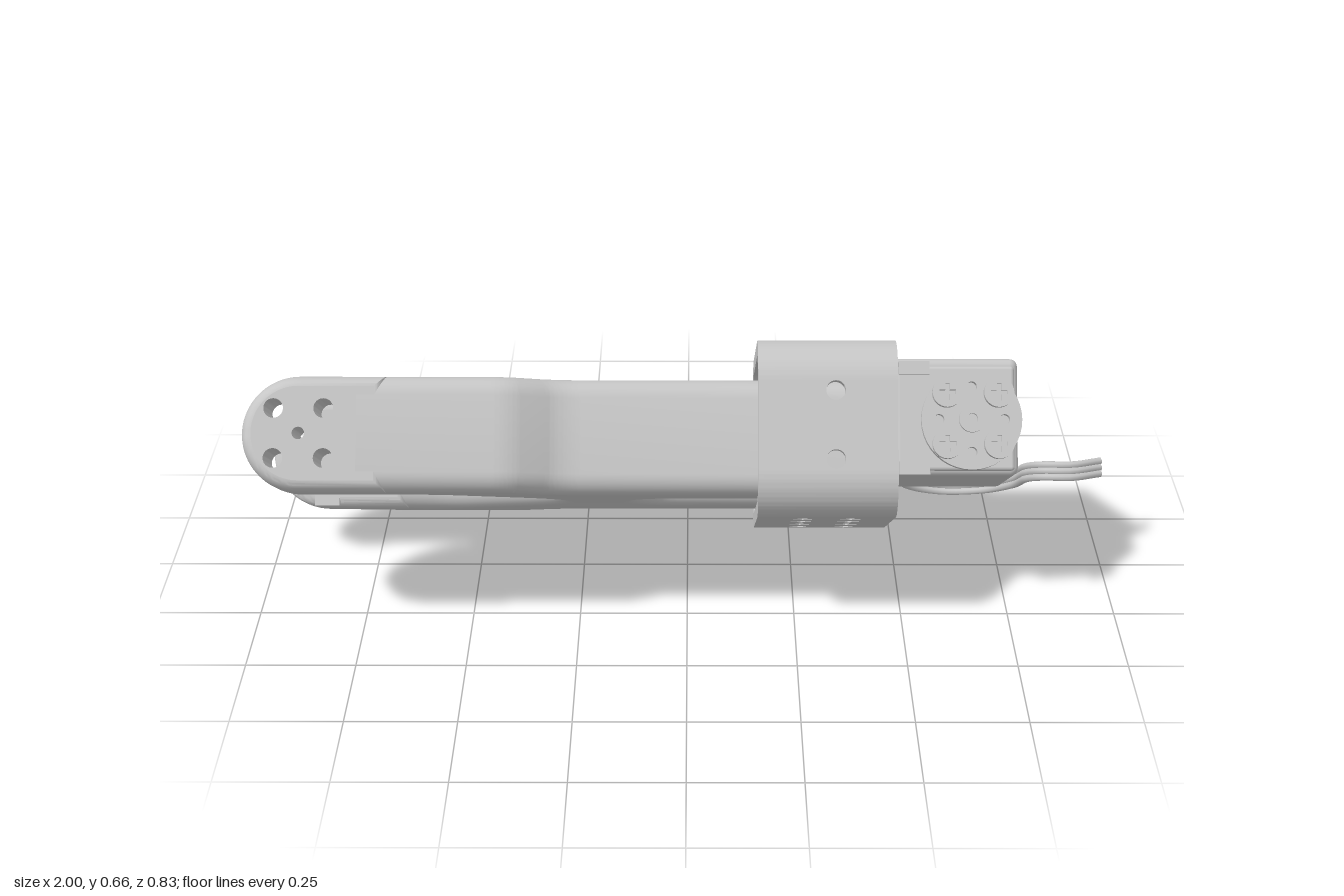
import * as THREE from 'three';
import { toCreasedNormals } from 'three/addons/utils/BufferGeometryUtils.js';
import { RoundedBoxGeometry } from 'three/addons/geometries/RoundedBoxGeometry.js';

export function createModel() {
  const model = new THREE.Group();
  model.name = 'forkedLimb';
  const grey = new THREE.MeshStandardMaterial({ color: 0xc6c6c6 });
  grey.name = 'light grey';

  // Limb frame: X along the limb, Y through its thickness, Z across its width
  const limb = new THREE.Group();
  limb.name = 'limb';
  limb.rotation.x = -Math.PI / 6;
  model.add(limb);

  const add = (name, geo, x, y, z, parent = limb) => {
    const m = new THREE.Mesh(geo, grey);
    m.name = name;
    m.position.set(x, y, z);
    parent.add(m);
    return m;
  };
  // Extrusion centred in depth; the edge is rounded t deep and s inwards
  const extrude = (shape, depth, t = 0, s = t) => new THREE.ExtrudeGeometry(shape, {
    depth: depth - 2 * t, bevelEnabled: t > 0, bevelSize: s, bevelThickness: t,
    bevelOffset: -s, bevelSegments: 6, curveSegments: 20
  }).translate(0, 0, t - depth / 2);
  const smooth = (g) => toCreasedNormals(g, 0.5);
  const circle = (x, y, r, P = THREE.Path) => new P().absarc(x, y, r, 0, Math.PI * 2);
  const rect = (w, h) => new THREE.Shape([[-1, -1], [1, -1], [1, 1], [-1, 1]]
    .map(([a, b]) => new THREE.Vector2(a * w / 2, b * h / 2)));
  const discZ = (r, h, n = 24) => new THREE.CylinderGeometry(r, r, h, n).rotateX(Math.PI / 2);

  const R = 0.045, THICK = 0.262, MID = 0.264, CENTRE = 0.24;
  const ARM = 0.14, ARMZ = 0.263;

  // Fork body: Y-shaped plan with rounded edges and a slot
  const plan = new THREE.Shape();
  plan.moveTo(0.44, 0.27);
  plan.lineTo(-0.24, 0.27);
  plan.quadraticCurveTo(-0.29, 0.272, -0.32, 0.29);
  plan.lineTo(-0.37, 0.318);
  plan.quadraticCurveTo(-0.4, 0.333, -0.44, 0.333);
  plan.lineTo(-0.74, 0.333);
  plan.lineTo(-0.74, 0.193);
  plan.lineTo(-0.62, 0.193);
  plan.quadraticCurveTo(-0.57, 0.193, -0.53, 0.17);
  plan.lineTo(-0.4, 0.105);
  plan.bezierCurveTo(-0.34, 0.075, -0.31, 0.04, -0.31, 0);
  plan.bezierCurveTo(-0.31, -0.04, -0.34, -0.075, -0.4, -0.105);
  plan.lineTo(-0.53, -0.17);
  plan.quadraticCurveTo(-0.57, -0.193, -0.62, -0.193);
  plan.lineTo(-0.74, -0.193);
  plan.lineTo(-0.74, -0.333);
  plan.lineTo(-0.44, -0.333);
  plan.quadraticCurveTo(-0.4, -0.333, -0.37, -0.318);
  plan.lineTo(-0.32, -0.29);
  plan.quadraticCurveTo(-0.29, -0.272, -0.24, -0.27);
  plan.lineTo(0.44, -0.27);
  plan.closePath();
  const slot = new THREE.Path();
  slot.absarc(-0.025, 0, 0.08, Math.PI / 2, Math.PI * 1.5);
  slot.lineTo(0.26, -0.08);
  slot.lineTo(0.26, 0.08);
  slot.closePath();
  plan.holes.push(slot);
  add('forkBody', smooth(extrude(plan, THICK, R).rotateX(Math.PI / 2)), 0, MID, CENTRE);

  // Arm tip: a rounded rim without its lids, and a drilled core that closes it
  const TIPX = -0.869, TIPR = THICK / 2, RIM = 0.025;
  const tipShape = (r, end) => {
    const s = new THREE.Shape();
    s.moveTo(end, -r);
    s.lineTo(end, r);
    s.lineTo(TIPX, r);
    s.absarc(TIPX, 0, r, Math.PI / 2, Math.PI * 1.5);
    s.closePath();
    return s;
  };
  const makeTip = () => {
    const full = extrude(tipShape(TIPR, -0.675), ARM, R, RIM);
    const side = full.groups[1];
    const rim = new THREE.BufferGeometry();
    rim.setAttribute('position', new THREE.BufferAttribute(
      full.attributes.position.array.slice(side.start * 3, (side.start + side.count) * 3), 3));
    const drilled = tipShape(TIPR - RIM, -0.675 - RIM);
    drilled.holes.push(circle(TIPX, 0, 0.014));
    for (const a of [-1, 1]) for (const b of [-1, 1])
      drilled.holes.push(circle(TIPX + a * 0.056, b * 0.056, 0.022));
    return { rim, core: extrude(drilled, ARM) };
  };
  for (const [name, geo] of Object.entries(makeTip()))
    add(name === 'rim' ? 'frontTipRim' : 'frontTipCore', smooth(geo), 0, MID, CENTRE + ARMZ);
  // The rear tip thins towards its end on the outside
  for (const [name, geo] of Object.entries(makeTip())) {
    const p = geo.attributes.position;
    for (let i = 0; i < p.count; i++) {
      const thin = 1 - 0.75 * Math.max(0, (-0.7 - p.getX(i)) / 0.3);
      p.setZ(i, ARM / 2 - (ARM / 2 - p.getZ(i)) * thin);
    }
    add(name === 'rim' ? 'rearTipRim' : 'rearTipCore', smooth(geo), 0, MID, CENTRE - ARMZ);
  }
  add('padTongue', new THREE.BoxGeometry(0.06, 0.11, 0.016), TIPX, MID - 0.072, 0.047);
  add('padTongueEnd', discZ(0.03, 0.016), TIPX, MID - 0.017, 0.047);

  // Clip blocks on the outside of the rear arm
  for (const y of [0.235, 0.335]) add('armClip', new THREE.BoxGeometry(0.11, 0.045, 0.045), -0.685, y, -0.11);

  // Sleeve: four rounded corners joined by four pierced panels
  const SX = 0.3175, SY = 0.288, SZ = 0.2375, LEN = 0.315;
  const HY = 0.102, HZ = 0.1975, OUT = 0.1, WALL = 0.035;
  const quarter = new THREE.Shape();
  quarter.absarc(0, 0, OUT, 0, Math.PI / 2);
  quarter.absarc(0, 0, OUT - WALL, Math.PI / 2, 0, true);
  quarter.closePath();
  [[1, -1], [1, 1], [-1, 1], [-1, -1]].forEach(([a, b], i) => {
    const c = add('sleeveCorner', smooth(extrude(quarter, LEN).rotateY(Math.PI / 2)), SX, SY + a * HY, SZ + b * HZ);
    c.rotation.x = i * Math.PI / 2;
  });
  const broad = rect(LEN, HZ * 2);
  for (const x of [-0.0525, 0.0575])
    for (const z of [-0.1625, -0.0675, 0.0275, 0.1225])
      broad.holes.push(new THREE.Path([[1, 0], [0, 1], [-1, 0], [0, -1]]
        .map(([a, b]) => new THREE.Vector2(x + a * 0.026, z + b * 0.026))));
  const narrow = rect(LEN, HY * 2);
  for (const y of [-0.078, 0.078]) narrow.holes.push(circle(0.0175, y, 0.022));
  for (const s of [-1, 1]) {
    add('broadPanel', extrude(broad, WALL).rotateX(Math.PI / 2), SX, SY + s * (HY + OUT - WALL / 2), SZ);
    add('narrowPanel', smooth(extrude(narrow, WALL)), SX, SY, SZ + s * (HZ + OUT - WALL / 2));
  }
  for (const z of [-0.005, 0.022]) add('sleeveRidge', new THREE.BoxGeometry(0.31, 0.016, 0.014), SX, 0.49, z);
  for (const y of [0.21, 0.3]) add('sleeveClip', new THREE.BoxGeometry(0.06, 0.045, 0.04), 0.39, y, -0.065);

  // Motor block with side plates
  add('motor', new RoundedBoxGeometry(0.56, 0.27, 0.36, 3, 0.018), 0.48, 0.32, 0.215);
  add('motorPlate', new RoundedBoxGeometry(0.27, 0.24, 0.02, 2, 0.008), 0.615, 0.315, 0.4);
  add('motorPlate', new RoundedBoxGeometry(0.24, 0.22, 0.02, 2, 0.008), 0.63, 0.315, 0.03);
  for (const y of [0.2, 0.43]) add('mountTab', new THREE.BoxGeometry(0.07, 0.03, 0.03), 0.52, y, 0.405);

  // Output discs with four cross-head screws, one on each side
  const disc = circle(0, 0, 0.115, THREE.Shape);
  for (let i = 0; i < 4; i++)
    disc.holes.push(circle(Math.cos(i * Math.PI / 2) * 0.075, Math.sin(i * Math.PI / 2) * 0.075, 0.012));
  const boss = circle(0, 0, 0.03, THREE.Shape);
  boss.holes.push(circle(0, 0, 0.013));
  const head = circle(0, 0, 0.034, THREE.Shape);
  const W = 0.005, L = 0.019;
  head.holes.push(new THREE.Path([
    [L, -W], [L, W], [W, W], [W, L], [-W, L], [-W, W], [-L, W], [-L, -W], [-W, -W], [-W, -L], [W, -L], [W, -W]
  ].map(([a, b]) => new THREE.Vector2(a, b))));
  for (const [z, dir] of [[0.41, 1], [0.02, -1]]) {
    const hub = new THREE.Group();
    hub.name = dir > 0 ? 'frontHub' : 'rearHub';
    hub.position.set(0.65, 0.31, z);
    if (dir < 0) hub.rotation.y = Math.PI;
    limb.add(hub);
    add('hubDisc', smooth(extrude(disc, 0.022)), 0, 0, 0.011, hub);
    add('hubBoss', smooth(extrude(boss, 0.012)), 0, 0, 0.027, hub);
    for (let i = 0; i < 4; i++) {
      const a = (i + 0.5) * Math.PI / 2, x = Math.cos(a) * 0.083, y = Math.sin(a) * 0.083;
      add('screwShaft', discZ(0.022, 0.03, 16), x, y, 0.035, hub);
      add('screwHead', smooth(extrude(head, 0.02)), x, y, 0.052, hub);
    }
  }

  // Three-wire cable looping out from the plug behind the motor
  add('cablePlug', new THREE.BoxGeometry(0.06, 0.09, 0.06), 0.5, 0.31, 0.0);
  const path = [
    [0.50, 0.27, -0.15], [0.505, 0.15, -0.28], [0.55, 0.055, -0.365], [0.64, 0.021, -0.397],
    [0.74, 0.036, -0.37], [0.81, 0.1, -0.27], [0.83, 0.185, -0.13], [0.865, 0.222, -0.06],
    [0.925, 0.226, -0.05], [0.998, 0.22, -0.085]
  ];
  for (const k of [-1, 0, 1]) {
    const pts = path.map(([x, y, z]) => new THREE.Vector3(x, y + k * 0.013, z - k * 0.0075));
    const curve = new THREE.CatmullRomCurve3(pts);
    add('cableWire', new THREE.TubeGeometry(curve, 60, 0.009, 8), 0, 0, 0, model);
    const end = new THREE.CylinderGeometry(0.009, 0.009, 0.004, 8).rotateZ(Math.PI / 2);
    add('wireEnd', end, 0, 0, 0, model).position.copy(pts[pts.length - 1]);
  }
  return model;
}
